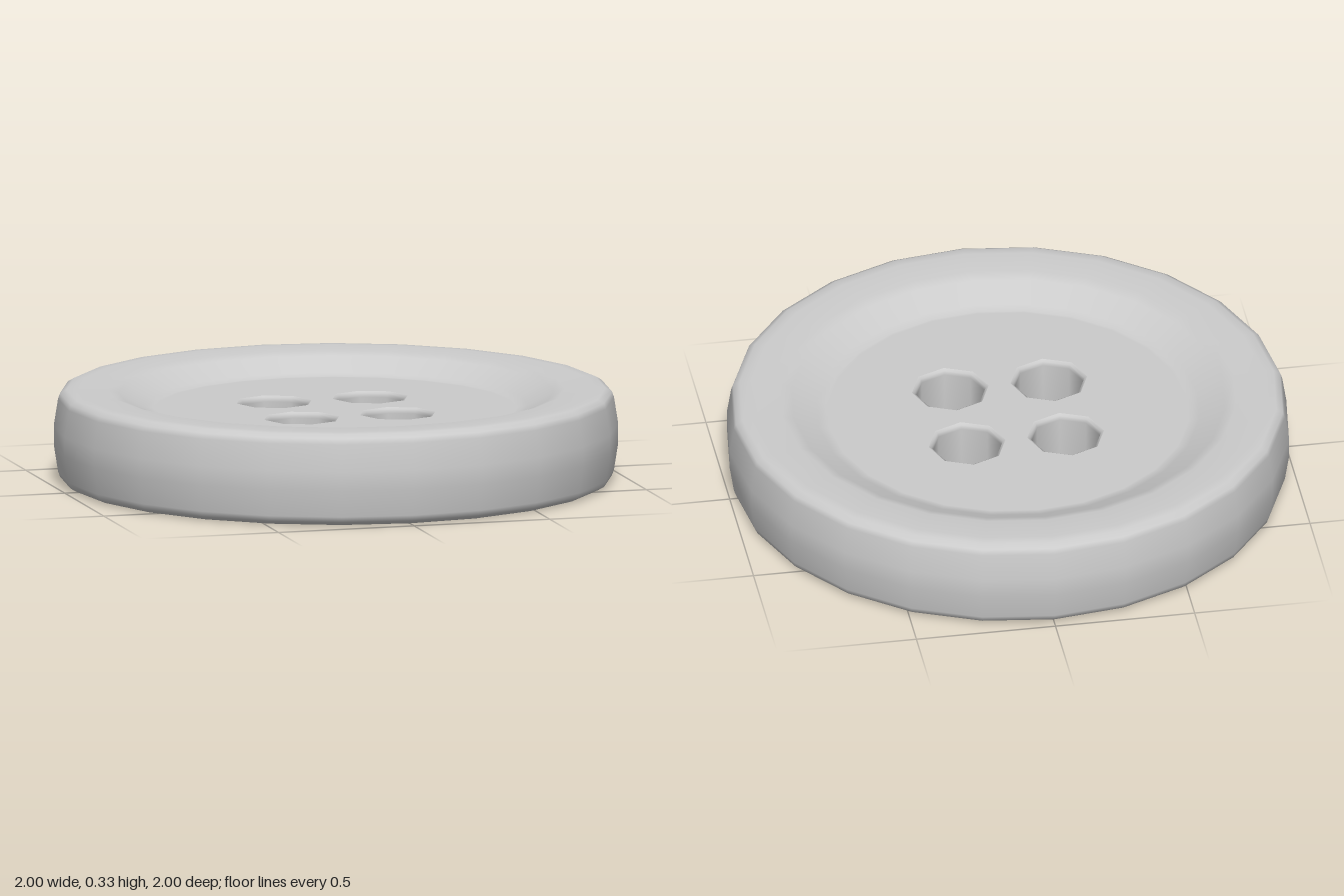
import * as THREE from 'three';

const HEIGHT = 0.33, FLOOR = 0.26, FLOOR_R = 0.64, SIDES = 24;
const HOLE_OFFSET = 0.177, HOLE_R = 0.124, HOLE_EDGE = 0.138, HOLE_SIDES = 8;

// Regular polygon with a corner on each axis
function polygon(cx, cy, r, n) {
  return Array.from({ length: n }, (_, i) => {
    const a = (i / n) * Math.PI * 2;
    return new THREE.Vector2(cx + r * Math.cos(a), cy + r * Math.sin(a));
  });
}

// Complete an upper-half profile by mirroring it about mid height
function mirrored(half) {
  const lower = half.map(([r, y]) => [r, HEIGHT - y]).reverse();
  return [...lower, ...half].map(([r, y]) => new THREE.Vector2(r, y));
}

export function createModel() {
  const group = new THREE.Group();
  const material = new THREE.MeshStandardMaterial({ color: 0xcccccc });
  const add = (geometry, name) => {
    const mesh = new THREE.Mesh(geometry, material);
    mesh.name = name;
    group.add(mesh);
    return mesh;
  };

  // Bulging rim with rounded edges, sloping into the dish on both faces
  const rim = mirrored([
    [1.0, 0.2], [0.985, 0.295], [0.978, 0.315], [0.955, 0.328], [0.92, HEIGHT],
    [0.81, 0.327], [0.77, 0.315], [0.68, 0.268], [0.65, FLOOR], [FLOOR_R, FLOOR],
  ]);
  add(new THREE.LatheGeometry(rim, SIDES), 'rim');

  // Recessed discs pierced by the four thread holes
  const centres = [[1, 1], [-1, 1], [-1, -1], [1, -1]]
    .map(([x, z]) => [x * HOLE_OFFSET, z * HOLE_OFFSET]);
  const disc = new THREE.Shape(polygon(0, 0, FLOOR_R, SIDES));
  for (const [x, z] of centres) {
    disc.holes.push(new THREE.Path(polygon(x, z, HOLE_EDGE, HOLE_SIDES)));
  }
  for (const side of [1, -1]) {
    const face = new THREE.ShapeGeometry(disc).rotateX(-side * Math.PI / 2);
    add(face, side > 0 ? 'topFace' : 'bottomFace').position.y =
      side > 0 ? FLOOR : HEIGHT - FLOOR;
  }

  // Hole walls with softened edges, facing inward
  const wall = mirrored([
    [HOLE_R, FLOOR - 0.02], [HOLE_R + 0.004, FLOOR - 0.006], [HOLE_EDGE, FLOOR],
  ]).reverse();
  for (const [x, z] of centres) {
    add(new THREE.LatheGeometry(wall, HOLE_SIDES), 'threadHole').position.set(x, 0, z);
  }

  return group;
}
